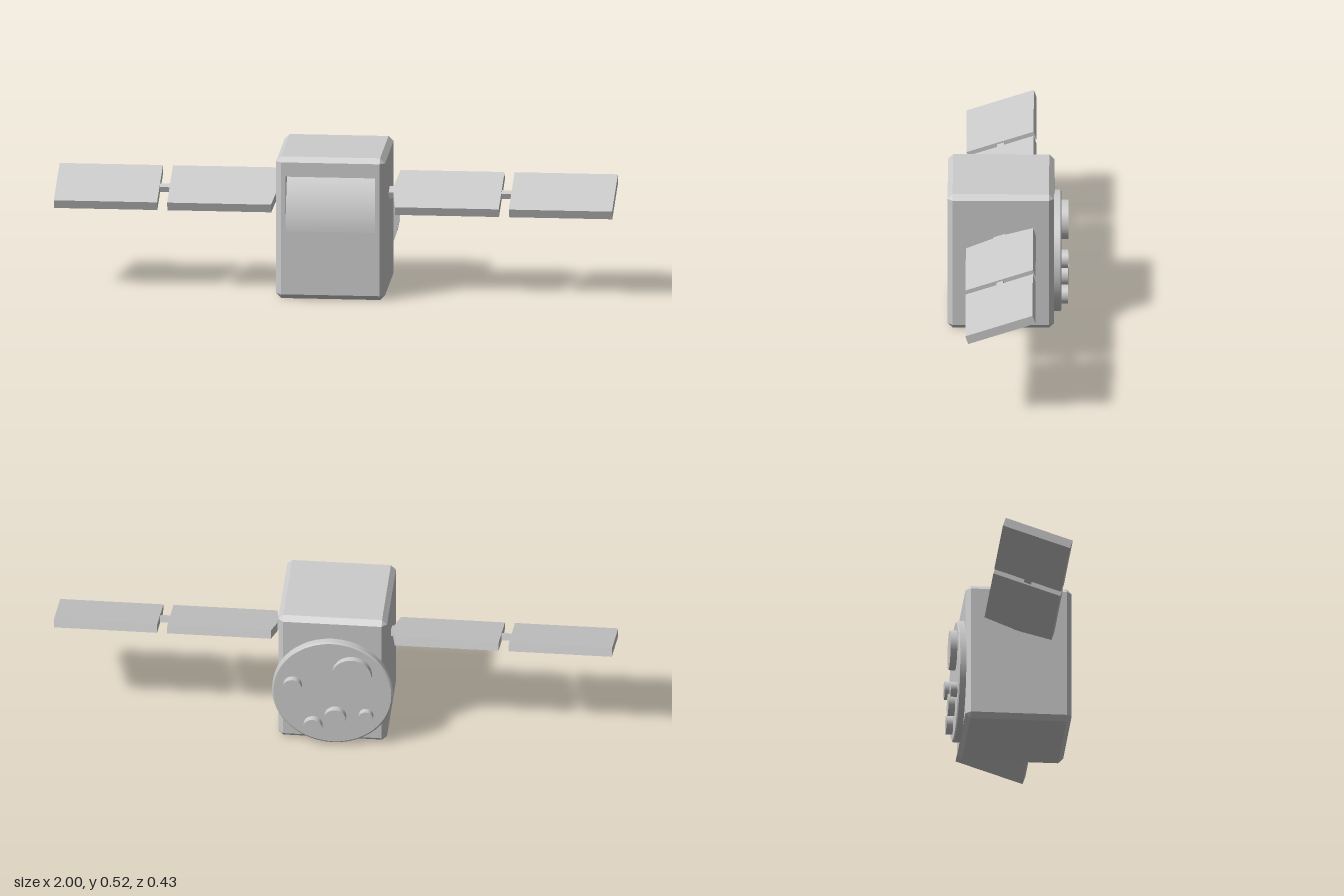
import * as THREE from 'three';
import { ConvexGeometry } from 'three/addons/geometries/ConvexGeometry.js';

const mat = new THREE.MeshStandardMaterial({ color: 0xcccccc });
const thin = new THREE.MeshStandardMaterial({ color: 0xcccccc, side: THREE.DoubleSide });
const CX = -0.004;

function add(parent, name, geometry, x = 0, y = 0, z = 0, material = mat) {
  const mesh = new THREE.Mesh(geometry, material);
  mesh.name = name;
  mesh.position.set(x, y, z);
  parent.add(mesh);
  return mesh;
}

// Box with every edge chamfered; the flat front face is left open
function chamferedShell(w, h, d, c) {
  const pts = [];
  for (const sx of [-1, 1]) for (const sy of [-1, 1]) for (const sz of [-1, 1]) {
    for (const full of [0, 1, 2]) {
      const half = [w / 2 - c, h / 2 - c, d / 2 - c];
      half[full] += c;
      pts.push(new THREE.Vector3(sx * half[0], sy * half[1], sz * half[2]));
    }
  }
  const p = new ConvexGeometry(pts).attributes.position;
  const kept = [];
  for (let i = 0; i < p.count; i += 3) {
    const front = [0, 1, 2].every(k => p.getZ(i + k) > d / 2 - 1e-5);
    if (!front) for (let k = 0; k < 3; k++) kept.push(p.getX(i + k), p.getY(i + k), p.getZ(i + k));
  }
  const g = new THREE.BufferGeometry();
  g.setAttribute('position', new THREE.Float32BufferAttribute(kept, 3));
  g.computeVertexNormals();
  return g;
}

// Corner points of an upright rectangle
function rectangle(x0, y0, x1, y1) {
  return [[x0, y0], [x1, y0], [x1, y1], [x0, y1]].map(([x, y]) => new THREE.Vector2(x, y));
}

function makeBody() {
  const body = new THREE.Group();
  body.name = 'body';
  const front = 0.215, w = 0.39, h = 0.52, c = 0.018;
  add(body, 'bodyShell', chamferedShell(w, h, 0.38, c), CX, h / 2, 0.025);

  // Front face with the opening of the recess
  const x0 = -0.16, x1 = 0.16, y0 = 0.25, y1 = 0.45;
  const ex = w / 2 - c;
  const face = new THREE.Shape(rectangle(-ex, c, ex, h - c));
  face.holes.push(new THREE.Path(rectangle(x0, y0, x1, y1)));
  add(body, 'frontFace', new THREE.ShapeGeometry(face), CX, 0, front);

  // Recess: deepest under its ceiling, curving out to the face below
  const depth = y => 0.065 * Math.pow(Math.max(0, (y - y0) / (y1 - y0)), 1.8);
  const slope = new THREE.PlaneGeometry(x1 - x0, y1 - y0, 1, 10);
  const p = slope.attributes.position;
  for (let i = 0; i < p.count; i++) p.setZ(i, -depth(p.getY(i) + (y0 + y1) / 2));
  slope.computeVertexNormals();
  add(body, 'recessSlope', slope, CX, (y0 + y1) / 2, front);
  const d = depth(y1);
  add(body, 'recessCeiling', new THREE.PlaneGeometry(x1 - x0, d), CX, y1, front - d / 2, thin).rotation.x = Math.PI / 2;
  const wall = new THREE.Shape();
  wall.moveTo(0, y1);
  for (let i = 0; i < 10; i++) {
    const y = y1 + (y0 - y1) * i / 10;
    wall.lineTo(depth(y), y);
  }
  wall.lineTo(0, y0);
  for (const x of [x0, x1]) {
    add(body, 'recessWall', new THREE.ShapeGeometry(wall), CX + x, 0, front, thin).rotation.y = Math.PI / 2;
  }
  return body;
}

// Round plate on the back with its raised knobs
function makeBackPlate() {
  const plate = new THREE.Group();
  plate.name = 'backPlate';
  const addRound = (name, rBack, rFront, depth, x, y, z) => {
    const g = new THREE.CylinderGeometry(rFront, rBack, depth, 48);
    g.rotateX(Math.PI / 2);
    add(plate, name, g, x, y, z);
  };
  addRound('disc', 0.217, 0.217, 0.022, -0.007, 0.223, -0.176);
  addRound('discBevel', 0.211, 0.217, 0.004, -0.007, 0.223, -0.189);
  const knobs = [
    [-0.078, 0.312, 0.071], [0.135, 0.252, 0.033], [-0.018, 0.125, 0.039],
    [0.062, 0.083, 0.034], [-0.128, 0.135, 0.026],
  ];
  for (const [x, y, r] of knobs) addRound('knob', r, r, 0.03, x, y, -0.2);
  return plate;
}

// One wing of two tilted panels joined by short rods
function makeWing(side) {
  const wing = new THREE.Group();
  wing.name = side > 0 ? 'leftWing' : 'rightWing';
  const chord = 0.253, thick = 0.032;
  // Inner panel, its root edge drawn to a shallow point
  const outline = [
    [0.222, -chord / 2], [0.594, -chord / 2], [0.594, chord / 2],
    [0.222, chord / 2], [0.208, 0.03], [0.208, -0.03],
  ];
  const shape = new THREE.Shape(outline.map(([x, z]) => new THREE.Vector2(side * x, z)));
  const inner = new THREE.ExtrudeGeometry(shape, { depth: thick, bevelEnabled: false });
  inner.translate(0, 0, -thick / 2);
  inner.rotateX(Math.PI / 2);
  add(wing, 'innerPanel', inner);
  add(wing, 'outerPanel', new THREE.BoxGeometry(0.37, thick, chord), side * 0.815);
  add(wing, 'panelRod', new THREE.BoxGeometry(0.06, 0.02, 0.026), side * 0.612);
  add(wing, 'rootRod', new THREE.BoxGeometry(0.05, 0.026, 0.045), side * 0.2);
  wing.position.set(0, 0.355, 0.025);
  wing.rotation.x = Math.atan2(0.08, 0.24);
  return wing;
}

export function createModel() {
  const model = new THREE.Group();
  model.name = 'satellite';
  model.add(makeBody(), makeBackPlate(), makeWing(1), makeWing(-1));
  return model;
}
